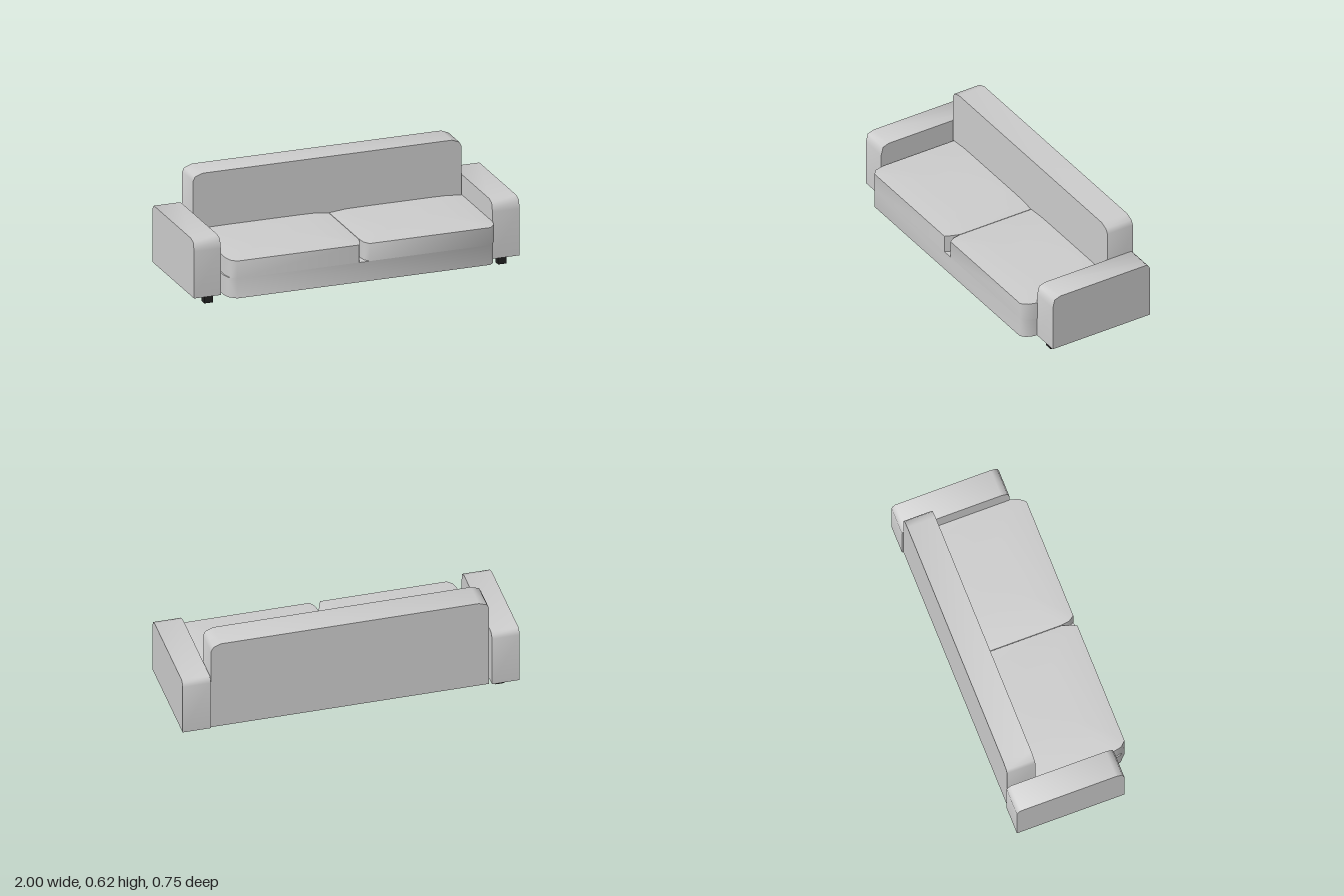
import * as THREE from 'three';
import { toCreasedNormals } from 'three/addons/utils/BufferGeometryUtils.js';

const CREASE = 0.98;

export function createModel() {
  const sofa = new THREE.Group();
  sofa.name = 'sofa';
  const fabric = new THREE.MeshStandardMaterial({ name: 'grey fabric', color: 0xcccccc });
  const black = new THREE.MeshStandardMaterial({ name: 'black feet', color: 0x222222 });

  function add(name, geometry, material) {
    const mesh = new THREE.Mesh(geometry, material);
    mesh.name = name;
    sofa.add(mesh);
    return mesh;
  }

  function extrude(points, depth) {
    const shape = new THREE.Shape(points.map(([a, b]) => new THREE.Vector2(a, b)));
    return new THREE.ExtrudeGeometry(shape, { depth, bevelEnabled: false });
  }

  // Cushion: a plan outline of [x, z], walls, and a softly domed top
  function cushionGeometry(plan, y0, y1) {
    const n = plan.length;
    const cx = (plan[0][0] + plan[n / 2][0]) / 2;
    const ring = (y, s) => plan.map(([x, z]) => [cx + (x - cx) * s, y, z * s]);
    const rings = [ring(y0, 1), ring(y1, 1), ring(y1 + 0.01, 0.76), ring(y1 + 0.012, 0.4)];
    const centre = [cx, y1 + 0.012, 0];
    const base = [cx, y0, 0];
    const pos = [];
    for (let i = 0; i < n; i++) {
      const j = (i + 1) % n;
      for (let r = 0; r < rings.length - 1; r++) {
        const [a, b, c, d] = [rings[r][i], rings[r][j], rings[r + 1][j], rings[r + 1][i]];
        pos.push(...a, ...b, ...c, ...a, ...c, ...d);
      }
      pos.push(...rings[3][i], ...rings[3][j], ...centre);
      pos.push(...rings[0][j], ...rings[0][i], ...base);
    }
    const g = new THREE.BufferGeometry();
    g.setAttribute('position', new THREE.Float32BufferAttribute(pos, 3));
    return toCreasedNormals(g, CREASE);
  }

  // Seat base with rounded front corners
  const basePlan = [
    [-0.77, 0.374], [0.785, 0.374], [0.812, 0.35], [0.828, 0.31], [0.832, 0.27],
    [0.83, -0.36], [-0.82, -0.36], [-0.82, 0.29], [-0.81, 0.335],
  ].map(([x, z]) => [x, -z]);
  const base = extrude(basePlan, 0.12);
  base.rotateX(-Math.PI / 2);
  base.translate(0, 0.05, 0);
  add('seatBase', toCreasedNormals(base, CREASE), fabric);

  // Two seat cushions
  add('rightCushion', cushionGeometry([
    [-0.77, 0.374], [-0.02, 0.374], [-0.003, 0.335], [0.012, 0.29], [0.012, -0.355],
    [-0.812, -0.355], [-0.812, 0.29], [-0.8, 0.345],
  ], 0.17, 0.277), fabric);
  add('leftCushion', cushionGeometry([
    [0.045, 0.374], [0.79, 0.374], [0.822, 0.335], [0.837, 0.28], [0.837, -0.355],
    [0.015, -0.355], [0.015, 0.29], [0.022, 0.34],
  ], 0.17, 0.277), fabric);

  // Backrest with rounded upper corners
  const back = extrude([
    [-0.82, 0.05], [0.83, 0.05], [0.83, 0.575], [0.815, 0.602], [0.77, 0.62],
    [-0.76, 0.62], [-0.808, 0.603], [-0.82, 0.58],
  ], 0.173);
  back.translate(0, 0, -0.365);
  add('backrest', toCreasedNormals(back, CREASE), fabric);

  // Arms: side profile of [z, y]
  const armProfile = [
    [-0.374, 0.05], [0.286, 0.05], [0.286, 0.335], [0.273, 0.386], [0.235, 0.4],
    [-0.35, 0.4], [-0.365, 0.386], [-0.374, 0.365],
  ];
  for (const [name, x0, x1] of [['rightArm', -1, -0.836], ['leftArm', 0.833, 1]]) {
    const arm = extrude(armProfile, x1 - x0);
    arm.rotateY(-Math.PI / 2);
    arm.translate(x1, 0, 0);
    add(name, toCreasedNormals(arm, CREASE), fabric);
  }

  // Feet
  const foot = new THREE.BoxGeometry(0.052, 0.044, 0.042);
  for (const [name, x, z] of [
    ['frontRightFoot', -0.9, 0.236], ['frontLeftFoot', 0.905, 0.236],
    ['backRightFoot', -0.9, -0.29], ['backLeftFoot', 0.905, -0.281],
  ]) add(name, foot, black).position.set(x, 0.022, z);

  return sofa;
}
